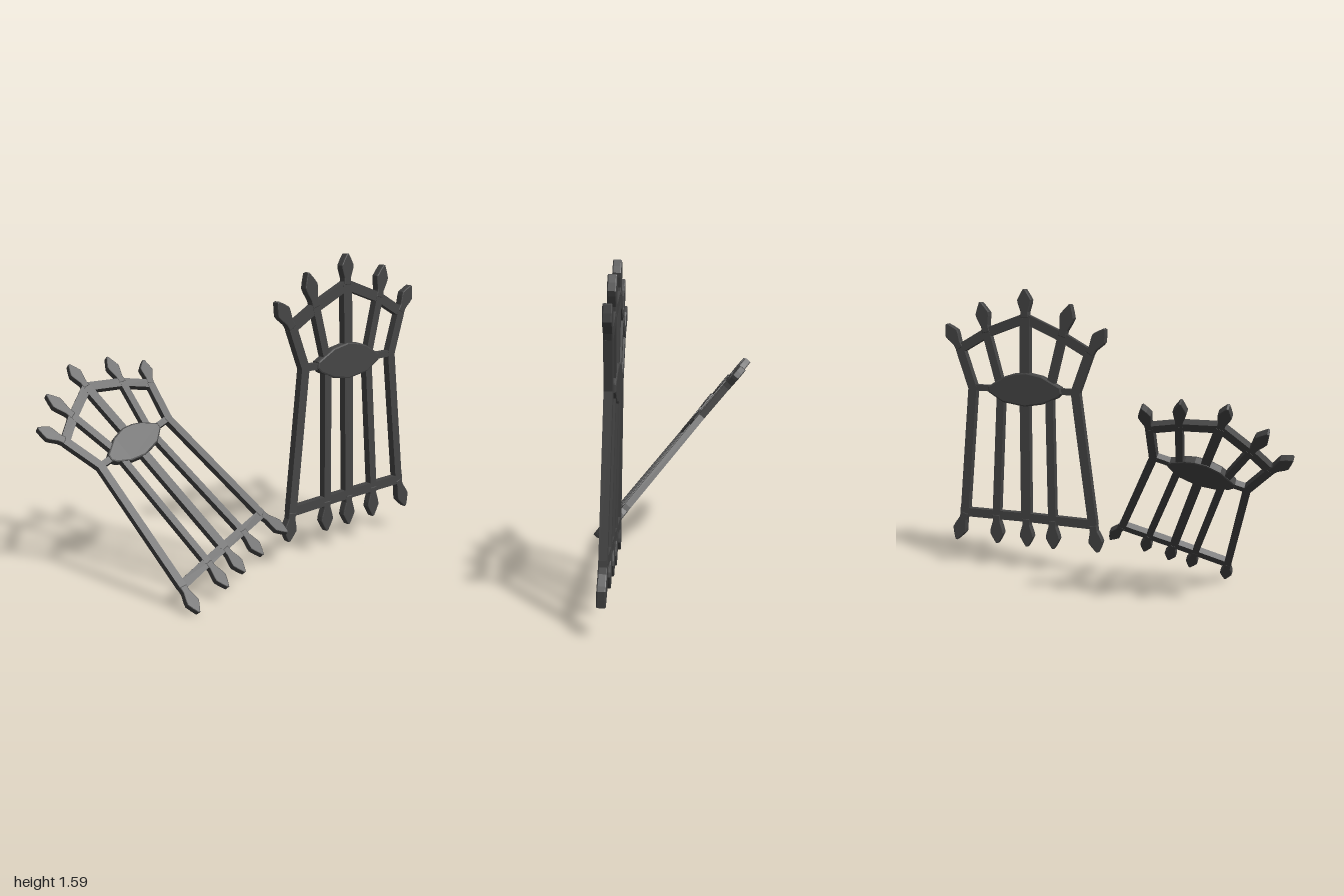
import * as THREE from 'three';

const iron = new THREE.MeshStandardMaterial({ color: 0x444444 });
iron.name = 'darkIron';

// Gate drawings are laid out around this origin (tip of the middle lower spike)
const OX = 0.527, OY = 0.135;

// Flat iron plate from an outline, centred on the gate's plane
function plate(name, outline, depth, bevel = 0) {
  const shape = new THREE.Shape(outline.map(([x, y]) => new THREE.Vector2(x - OX, y - OY)));
  const geometry = new THREE.ExtrudeGeometry(shape, {
    depth: depth - 2 * bevel, bevelEnabled: bevel > 0, bevelThickness: bevel,
    bevelSize: bevel, bevelOffset: -bevel, bevelSegments: 2,
  });
  geometry.translate(0, 0, -depth / 2 + bevel);
  const mesh = new THREE.Mesh(geometry, iron);
  mesh.name = name;
  return mesh;
}

// Bar that follows a bent line with mitred corners
function bar(name, points, width, depth = 0.038) {
  const p = points.map(([x, y]) => new THREE.Vector2(x, y));
  const left = [], right = [];
  p.forEach((point, i) => {
    const a = p[Math.max(i - 1, 0)], b = p[Math.min(i + 1, p.length - 1)];
    const d1 = (i > 0 ? point.clone().sub(a) : b.clone().sub(point)).normalize();
    const d2 = (i < p.length - 1 ? b.clone().sub(point) : d1.clone()).normalize();
    const n = new THREE.Vector2(-d1.y - d2.y, d1.x + d2.x).normalize();
    const h = width / 2 / (n.x * -d1.y + n.y * d1.x);
    left.push([point.x + n.x * h, point.y + n.y * h]);
    right.unshift([point.x - n.x * h, point.y - n.y * h]);
  });
  return plate(name, [...right, ...left], depth);
}

// Spearhead from its base on the frame to its tip
function spike(name, [bx, by], [tx, ty]) {
  const profile = [[0, 0.024], [0.22, 0.023], [0.5, 0.038], [0.63, 0.042], [0.82, 0.025], [1, 0.006]];
  const dx = tx - bx, dy = ty - by, length = Math.hypot(dx, dy);
  const at = (t, w) => [bx + dx * t + (dy / length) * w, by + dy * t - (dx / length) * w];
  const outline = [
    ...profile.map(([t, w]) => at(t, w)),
    ...profile.slice().reverse().map(([t, w]) => at(t, -w)),
  ];
  return plate(name, outline, 0.04, 0.005);
}

function createGate(name) {
  const gate = new THREE.Group();
  gate.name = name;

  // Five uprights: foot, middle, head
  const uprights = [
    { line: [[0.126, 0.29], [0.217, 1.03], [0.136, 1.24]], width: 0.05 },
    { line: [[0.368, 0.3], [0.37, 1.04], [0.291, 1.33]], width: 0.045 },
    { line: [[0.527, 0.3], [0.516, 1.04], [0.505, 1.43]], width: 0.058 },
    { line: [[0.712, 0.31], [0.66, 1.04], [0.74, 1.35]], width: 0.045 },
    { line: [[0.914, 0.31], [0.835, 1.04], [0.906, 1.26]], width: 0.05 },
  ];
  const lowerTips = [[0.1, 0.137], [0.366, 0.135], [0.527, 0.135], [0.714, 0.14], [0.976, 0.143]];
  const upperTips = [[0.043, 1.374], [0.238, 1.505], [0.505, 1.588], [0.772, 1.519], [0.985, 1.398]];
  uprights.forEach(({ line, width }, i) => {
    gate.add(bar('upright', line, width));
    gate.add(spike('lowerSpike', line[0], lowerTips[i]));
    gate.add(spike('upperSpike', line[2], upperTips[i]));
  });

  // Bottom rail and peaked top rail
  gate.add(bar('bottomRail', [[0.105, 0.293], [0.527, 0.307], [0.94, 0.313]], 0.05, 0.036));
  gate.add(bar('topRail', uprights.map((u) => u.line[2]), 0.052, 0.036));

  // Pointed oval boss on a thin cross rail
  gate.add(bar('crossRail', [[0.2, 1.03], [0.516, 1.035], [0.852, 1.043]], 0.034, 0.034));
  gate.add(plate('centreBoss', [
    [0.295, 1.02], [0.32, 0.995], [0.41, 0.958], [0.516, 0.942], [0.65, 0.965], [0.735, 1.018],
    [0.738, 1.052], [0.64, 1.108], [0.58, 1.126], [0.505, 1.134], [0.41, 1.114], [0.3, 1.055],
  ], 0.048, 0.009));
  return gate;
}

// Place a gate by the directions of its width and height
function place(gate, position, across, up, scale) {
  const x = new THREE.Vector3(...across).normalize();
  const z = x.clone().cross(new THREE.Vector3(...up)).normalize();
  const y = z.clone().cross(x);
  gate.quaternion.setFromRotationMatrix(new THREE.Matrix4().makeBasis(x, y, z));
  gate.position.set(...position);
  gate.scale.set(...scale);
  return gate;
}

export function createModel() {
  const model = new THREE.Group();
  model.name = 'brokenGates';
  model.add(place(createGate('standingGate'), [OX, OY, 0.259], [1, 0, 0], [0, 1, -0.032], [1, 1, 1]));
  model.add(place(createGate('fallenGate'), [-0.276, 0.105, 0.382],
    [0.94, 0.294, -0.176], [-0.334, 0.707, -0.623], [0.768, 0.924, 0.95]));
  return model;
}
